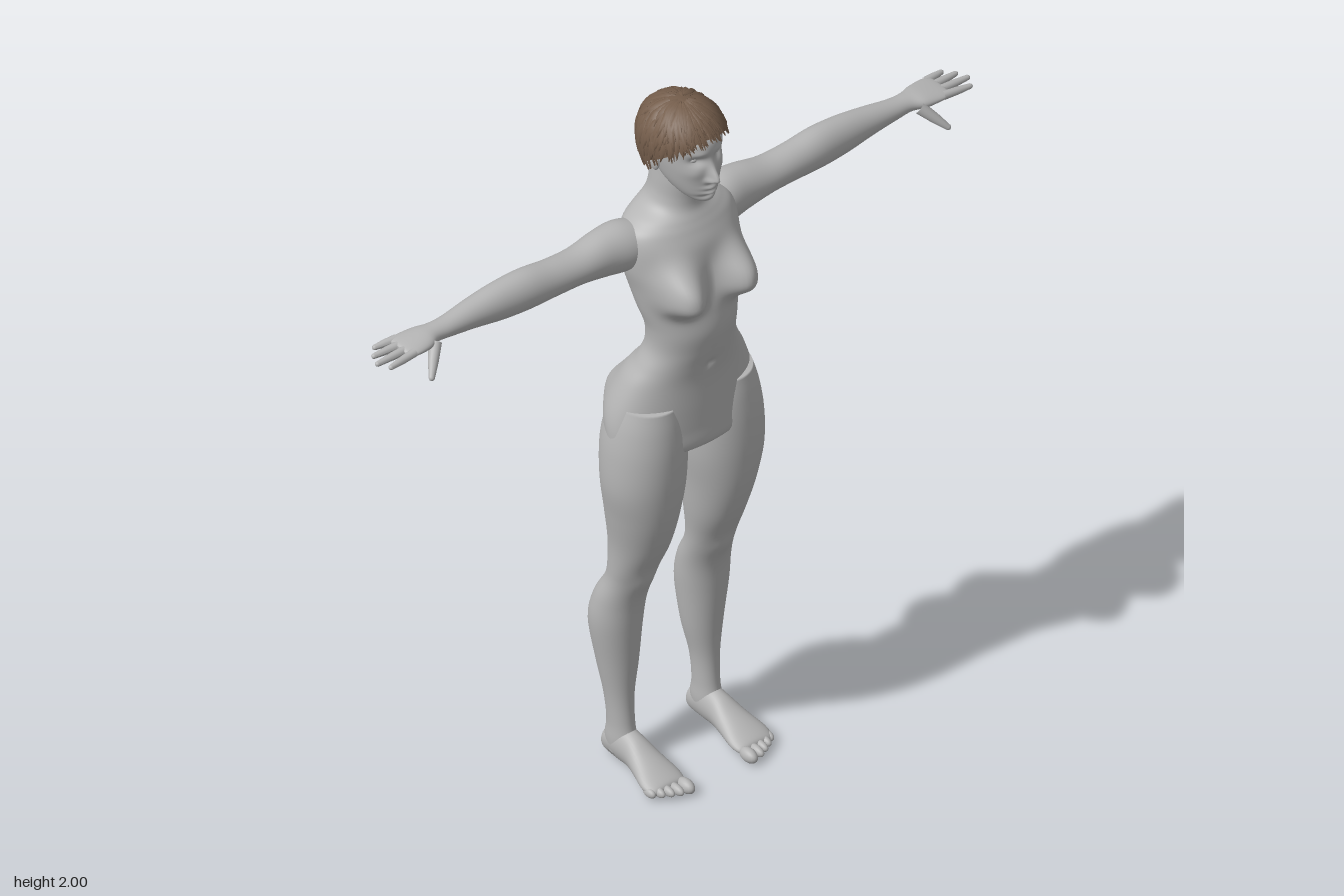
import * as THREE from 'three';
import { mergeGeometries } from 'three/addons/utils/BufferGeometryUtils.js';

const skin = new THREE.MeshStandardMaterial({ color: 0xb4b4b4 });
skin.name = 'plain grey';
const brown = new THREE.MeshStandardMaterial({ color: 0x745d4b, side: THREE.DoubleSide });
brown.name = 'hair brown';

const spline = (a, b, c, d, t) =>
  b + 0.5 * t * (c - a + t * (2 * a - 5 * b + 4 * c - d + t * (3 * (b - c) + d - a)));
const bell = (d, s) => Math.exp(-((d / s) ** 2));
const clamp01 = (v) => Math.min(1, Math.max(0, v));

// Axis order for a loft: (along, u, v) to x, y, z
const upY = (s, u, v) => [u, s, v];
const alongX = (s, u, v) => [s, v, u];
const alongZ = (s, u, v) => [v, u, s];

// Smooth closed loft through oval rings [along, u0, u1, v0, v1], with an optional rule moving points
function loft(rings, place, segs, steps, rule) {
  const pos = [], idx = [];
  const at = (k) => rings[Math.min(rings.length - 1, Math.max(0, k))];
  const rows = (rings.length - 1) * steps;
  const push = (s, u, v) => {
    const p = place(s, u, v);
    pos.push(...(rule ? rule(...p) : p));
  };
  const sample = (i) => {
    const k = Math.min(rings.length - 2, Math.floor(i / steps));
    return at(k).map((_, n) => spline(at(k - 1)[n], at(k)[n], at(k + 1)[n], at(k + 2)[n], i / steps - k));
  };
  for (let i = 0; i <= rows; i++) {
    const [s, u0, u1, v0, v1] = sample(i);
    for (let j = 0; j < segs; j++) {
      const a = (j / segs) * Math.PI * 2;
      push(s, (u0 + u1) / 2 + ((u1 - u0) / 2) * Math.cos(a), (v0 + v1) / 2 + ((v1 - v0) / 2) * Math.sin(a));
    }
  }
  for (const i of [0, rows]) {
    const [s, u0, u1, v0, v1] = sample(i);
    push(s, (u0 + u1) / 2, (v0 + v1) / 2);
  }
  const c0 = (rows + 1) * segs;
  for (let j = 0; j < segs; j++) {
    const n = (j + 1) % segs;
    for (let i = 0; i < rows; i++) {
      const a = i * segs + j, b = i * segs + n;
      idx.push(a, a + segs, b, b, a + segs, b + segs);
    }
    idx.push(c0, j, n, c0 + 1, rows * segs + n, rows * segs + j);
  }
  const g = new THREE.BufferGeometry();
  g.setAttribute('position', new THREE.Float32BufferAttribute(pos, 3));
  g.setIndex(idx);
  g.computeVertexNormals();
  return g;
}

// Copy reflected to the other side, with corner order reversed
function reflect(g) {
  const m = g.clone().scale(-1, 1, 1), ix = m.index;
  for (let i = 0; i < ix.count; i += 3) {
    const t = ix.getX(i);
    ix.setX(i, ix.getX(i + 1));
    ix.setX(i + 1, t);
  }
  m.computeVertexNormals();
  return m;
}

const blob = (x, y, z, rx, ry, rz) => new THREE.SphereGeometry(1, 20, 14).scale(rx, ry, rz).translate(x, y, z);

// Tapered rounded rod between two points
function digit(a, b, r0, r1) {
  const from = new THREE.Vector3(...a), dir = new THREE.Vector3(...b).sub(from), len = dir.length();
  const pts = [];
  for (let i = 0; i <= 5; i++) {
    const t = (i / 5) * Math.PI / 2;
    pts.push(new THREE.Vector2(r1 * Math.cos(t), len - r1 + r1 * Math.sin(t)));
  }
  const g = new THREE.LatheGeometry([new THREE.Vector2(r0, 0), new THREE.Vector2((r0 + r1) / 2 + 0.001, len * 0.5), ...pts], 14);
  const q = new THREE.Quaternion().setFromUnitVectors(new THREE.Vector3(0, 1, 0), dir.normalize());
  return g.applyQuaternion(q).translate(...a);
}

// Chest, seat, spine and navel relief
function torsoRule(x, y, z) {
  const ax = Math.abs(x);
  if (z > 0) {
    const q = ((ax - 0.085) / 0.055) ** 2 + ((y - 1.49) / (y < 1.49 ? 0.052 : 0.075)) ** 2;
    const k = Math.exp(-(q ** 1.3)) * clamp01(z / 0.06);
    z += 0.08 * k - 0.008 * bell(x, 0.012) * bell(y - 1.25, 0.012);
    x += Math.sign(x) * 0.01 * k;
  } else {
    const k = clamp01(-z / 0.06);
    z -= 0.05 * k * bell(ax - 0.09, 0.07) * bell(y - 1.075, y < 1.075 ? 0.055 : 0.085);
    z += 0.035 * k * bell(x, 0.016) * bell(y - 1.07, 0.07);
    z += 0.012 * k * bell(x, 0.022) * bell(y - 1.4, 0.17);
    z -= 0.008 * k * bell(ax - 0.085, 0.04) * bell(y - 1.56, 0.06);
  }
  return [x, y, z];
}

// Nose, eye sockets, brow, lips and chin
function faceRule(x, y, z) {
  const ax = Math.abs(x), k = clamp01((z - 0.03) / 0.03);
  const d = 0.03 * bell(x, 0.011) * bell(y - 1.823, y < 1.823 ? 0.011 : 0.03)
    + 0.01 * bell(ax - 0.013, 0.007) * bell(y - 1.818, 0.008)
    - 0.013 * bell(ax - 0.033, 0.018) * bell(y - 1.874, 0.012)
    + 0.004 * bell(ax - 0.032, 0.022) * bell(y - 1.897, 0.009)
    + 0.008 * bell(x, 0.02) * (bell(y - 1.793, 0.006) + bell(y - 1.777, 0.006))
    - 0.006 * bell(x, 0.03) * bell(y - 1.765, 0.006)
    + 0.004 * bell(ax - 0.045, 0.018) * bell(y - 1.84, 0.018);
  return [x, y, z + k * d];
}

// Point on the hair shell; phi 0 faces front, theta runs down from the crown
function scalp(phi, theta, lift) {
  const low = theta - Math.PI / 2;
  const s = low > 0 ? 1 - 0.2 * low * low : Math.sin(theta);
  const h = low > 0 ? -low * 0.9 : Math.cos(theta);
  return [(0.098 + lift) * s * Math.sin(phi), 1.89 + (0.102 + lift) * h, -0.005 + (0.12 + lift) * s * Math.cos(phi)];
}
function hairline(phi) {
  const b = (1 - Math.cos(phi)) / 2;
  return 1.13 + 1.6 * b - 0.12 * Math.sin(phi) ** 2 + 0.18 * Math.sin(phi) ** 4;
}

function grid(rows, cols, point) {
  const pos = [], idx = [];
  for (let i = 0; i <= rows; i++) for (let j = 0; j <= cols; j++) pos.push(...point(i / rows, j / cols));
  for (let i = 0; i < rows; i++) for (let j = 0; j < cols; j++) {
    const a = i * (cols + 1) + j, b = a + cols + 1;
    idx.push(a, b, a + 1, a + 1, b, b + 1);
  }
  const g = new THREE.BufferGeometry();
  g.setAttribute('position', new THREE.Float32BufferAttribute(pos, 3));
  g.setIndex(idx);
  g.computeVertexNormals();
  return g;
}

export function createModel() {
  const model = new THREE.Group();
  model.name = 'figure';
  const add = (name, g, m = skin) => {
    const mesh = new THREE.Mesh(g, m);
    mesh.name = name;
    model.add(mesh);
  };
  const pair = (name, g) => {
    add('left ' + name, g);
    add('right ' + name, reflect(g));
  };
  const even = (rows) => rows.map(([y, w, b, f]) => [y, -w, w, b, f]);

  // Torso and neck: height, half width, back, front
  add('torso', loft(even([
    [0.975, 0.03, -0.03, 0.03], [0.99, 0.15, -0.08, 0.08], [1.01, 0.212, -0.105, 0.1], [1.06, 0.219, -0.125, 0.1],
    [1.12, 0.208, -0.135, 0.1], [1.2, 0.175, -0.107, 0.1], [1.25, 0.145, -0.077, 0.107], [1.3, 0.124, -0.065, 0.118],
    [1.36, 0.124, -0.07, 0.127], [1.42, 0.138, -0.095, 0.12], [1.48, 0.15, -0.115, 0.107], [1.54, 0.163, -0.128, 0.1],
    [1.6, 0.165, -0.132, 0.09], [1.64, 0.155, -0.127, 0.072], [1.665, 0.125, -0.121, 0.058], [1.69, 0.083, -0.114, 0.045],
    [1.72, 0.066, -0.106, 0.042], [1.77, 0.06, -0.1, 0.045], [1.82, 0.056, -0.095, 0.04],
  ]), upY, 96, 7, torsoRule));

  // Head
  add('head', loft(even([
    [1.743, 0.02, 0.045, 0.095], [1.75, 0.034, 0.01, 0.104], [1.77, 0.052, -0.03, 0.108], [1.8, 0.067, -0.07, 0.11],
    [1.84, 0.077, -0.095, 0.112], [1.88, 0.083, -0.11, 0.109], [1.92, 0.085, -0.113, 0.107], [1.955, 0.068, -0.09, 0.08],
    [1.98, 0.035, -0.05, 0.04],
  ]), upY, 112, 10, faceRule));
  pair('eye', blob(0.033, 1.874, 0.078, 0.014, 0.009, 0.012));
  pair('ear', blob(0.08, 1.838, -0.012, 0.009, 0.026, 0.016));

  // Legs: height, inner, outer, back, front
  pair('leg', loft([
    [0.03, 0.105, 0.165, -0.122, -0.03], [0.07, 0.1, 0.168, -0.125, -0.028], [0.12, 0.102, 0.166, -0.118, -0.038],
    [0.2, 0.098, 0.171, -0.126, -0.043], [0.3, 0.08, 0.186, -0.148, -0.038], [0.42, 0.068, 0.203, -0.165, -0.028],
    [0.5, 0.064, 0.2, -0.148, -0.018], [0.57, 0.06, 0.19, -0.112, 0.002], [0.62, 0.055, 0.19, -0.103, 0.022],
    [0.7, 0.042, 0.195, -0.106, 0.058], [0.8, 0.03, 0.212, -0.11, 0.088], [0.9, 0.016, 0.229, -0.112, 0.102],
    [1, 0.012, 0.227, -0.118, 0.104], [1.08, 0.015, 0.214, -0.11, 0.097], [1.14, 0.03, 0.195, -0.09, 0.085],
  ], upY, 48, 6, (x, y, z) => [x, y, z + (z > -0.03 ? 0.009 * bell(x - 0.124, 0.03) * bell(y - 0.58, 0.035) : 0)]));

  // Feet: length, sole, top, inner, outer
  pair('foot', loft([
    [-0.131, 0.025, 0.05, 0.12, 0.148], [-0.118, 0.008, 0.08, 0.105, 0.162], [-0.07, 0.004, 0.105, 0.1, 0.168],
    [-0.02, 0.006, 0.1, 0.097, 0.171], [0.03, 0.006, 0.076, 0.089, 0.183], [0.08, 0.004, 0.053, 0.081, 0.196],
    [0.11, 0.006, 0.038, 0.086, 0.19], [0.118, 0.014, 0.028, 0.1, 0.175],
  ], alongZ, 36, 5));
  [[0.099, 0.132, 0.017, 0.03], [0.126, 0.128, 0.012, 0.028], [0.147, 0.12, 0.011, 0.026], [0.167, 0.11, 0.011, 0.024], [0.186, 0.098, 0.011, 0.022]]
    .forEach(([x, z, r, l], i) => pair('toe ' + (i + 1), blob(x, 0.02, z, r, r + 0.002, l)));

  // Arms and palms: length, back, front, bottom, top
  pair('arm', loft([
    [0.1, -0.1, 0.02, 1.55, 1.65], [0.16, -0.112, 0.015, 1.53, 1.664], [0.22, -0.108, 0.005, 1.536, 1.66],
    [0.3, -0.1, 0, 1.55, 1.645], [0.38, -0.098, -0.003, 1.55, 1.648], [0.46, -0.1, -0.005, 1.547, 1.657],
    [0.54, -0.1, -0.012, 1.55, 1.652], [0.62, -0.095, -0.02, 1.562, 1.64], [0.7, -0.085, -0.025, 1.574, 1.628],
    [0.745, -0.085, -0.025, 1.58, 1.625], [0.78, -0.096, -0.01, 1.582, 1.624], [0.82, -0.102, -0.006, 1.586, 1.619],
    [0.845, -0.1, -0.009, 1.591, 1.614], [0.853, -0.088, -0.02, 1.597, 1.609],
  ], alongX, 40, 6));
  [[-0.09, 0.898, -0.1], [-0.066, 0.922, -0.073], [-0.042, 0.935, -0.042], [-0.018, 0.918, -0.01]]
    .forEach(([z0, x1, z1], i) => pair('finger ' + (i + 1), digit([0.832, 1.603, z0], [x1, 1.599, z1], 0.0115, 0.007)));
  pair('thumb', digit([0.762, 1.597, -0.024], [0.817, 1.537, 0.03], 0.017, 0.008));

  // Hair: a cap covered with tapered, ridged locks swept round the crown
  add('hair cap', grid(20, 56, (t, j) => scalp(j * Math.PI * 2, t * hairline(j * Math.PI * 2), 0)), brown);
  let seed = 7;
  const rnd = () => (seed = (seed * 16807) % 2147483647) / 2147483647;
  const locks = [];
  for (let n = 0; n < 330; n++) {
    const phi = rnd() * Math.PI * 2, end = hairline(phi);
    const t0 = 0.1 + rnd() * Math.max(0.1, end - 0.6), t1 = Math.min(end + 0.02 + 0.16 * rnd(), t0 + 0.6 + 0.4 * rnd());
    const width = 0.006 + 0.006 * rnd(), sweep = -0.1 + 0.45 * rnd(), lift = 0.001 + 0.003 * rnd();
    locks.push(grid(6, 2, (t, j) => {
      const theta = t0 + (t1 - t0) * t;
      const half = width * (1 - t ** 2.5) * Math.min(1, 0.4 + 2 * t);
      const turn = ((j - 0.5) * 2 * half) / (0.11 * Math.max(0.2, Math.sin(Math.min(theta, 1.57))));
      return scalp(phi + sweep * (t - 0.5) + turn, theta, lift + (j === 0.5 ? 0.004 : 0) + 0.003 * t);
    }));
  }
  add('hair locks', mergeGeometries(locks), brown);
  return model;
}
